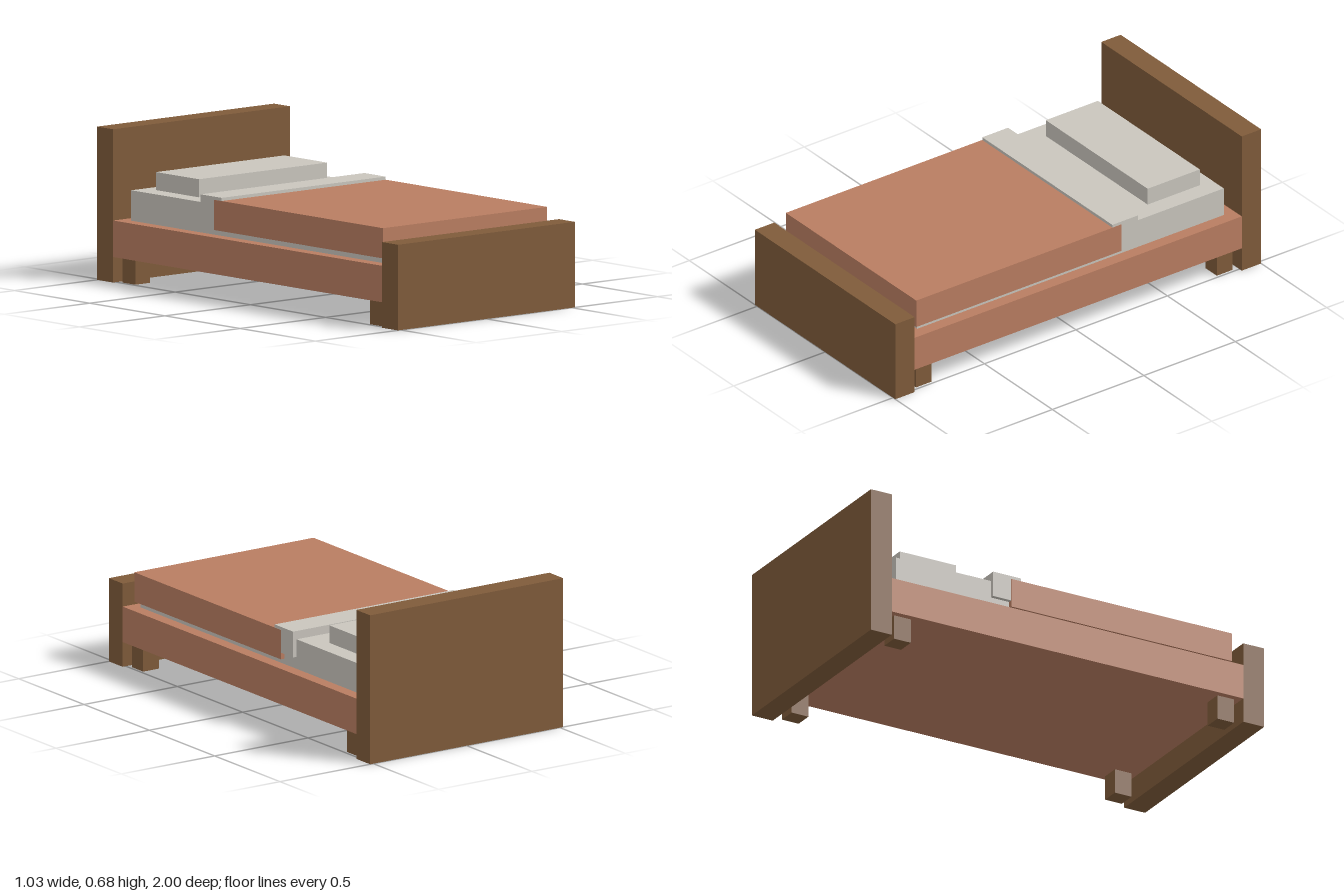
import * as THREE from 'three';

export function createModel() {
  const bed = new THREE.Group();
  bed.name = 'bed';

  const material = (name, color) => {
    const m = new THREE.MeshStandardMaterial({ color });
    m.name = name;
    return m;
  };
  const wood = material('brown wood', 0x7f5b3a);
  const terracotta = material('terracotta', 0xb97d61);
  const linen = material('pale linen', 0xc9c5bd);

  // Box given by its extents along each axis
  const block = (name, mat, [x0, x1], [y0, y1], [z0, z1]) => {
    const mesh = new THREE.Mesh(new THREE.BoxGeometry(x1 - x0, y1 - y0, z1 - z0), mat);
    mesh.position.set((x0 + x1) / 2, (y0 + y1) / 2, (z0 + z1) / 2);
    mesh.name = name;
    bed.add(mesh);
  };
  const wide = (half) => [-half, half];

  // Frame and end boards
  block('headboard', wood, wide(0.517), [0, 0.68], [-1, -0.894]);
  block('footboard', wood, wide(0.517), [0, 0.38], [0.894, 1]);
  block('bedBase', terracotta, wide(0.517), [0.113, 0.275], wide(0.894));

  // Four short legs inset from the corners
  for (const sx of [-1, 1]) {
    for (const sz of [-1, 1]) {
      const x = sx * 0.445, z = sz * 0.822, h = 0.0425;
      block('leg', wood, [x - h, x + h], [0, 0.113], [z - h, z + h]);
    }
  }

  // Bedding
  block('mattress', linen, wide(0.46), [0.275, 0.41], wide(0.838));
  block('blanket', terracotta, wide(0.48), [0.3, 0.434], [-0.264, 0.858]);
  block('sheetFold', linen, wide(0.479), [0.33, 0.448], [-0.356, -0.215]);
  block('pillow', linen, wide(0.375), [0.41, 0.49], [-0.77, -0.485]);

  return bed;
}
